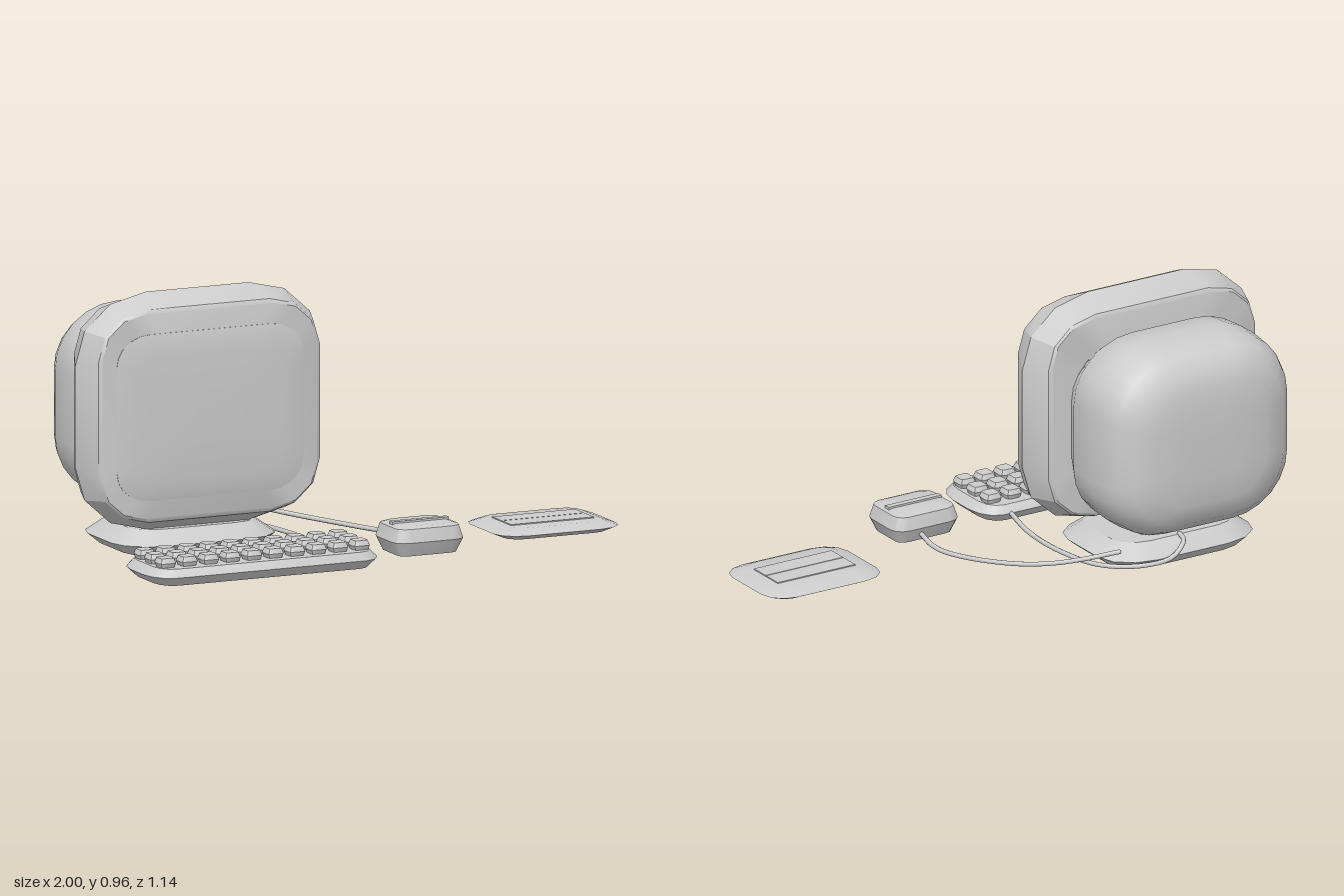
import * as THREE from 'three';
import { toCreasedNormals } from 'three/addons/utils/BufferGeometryUtils.js';

const grey = new THREE.MeshStandardMaterial({ color: 0xcccccc });
grey.name = 'plain grey';

// Rounded rectangle outline: half sizes w, d and corner sizes cx, cz
function outline(w, d, cx, cz, seg) {
  const pts = [];
  for (let q = 0; q < 4; q++) {
    const sx = q === 0 || q === 3 ? 1 : -1;
    const sz = q < 2 ? 1 : -1;
    for (let i = 0; i <= seg; i++) {
      const a = (q + i / seg) * Math.PI / 2;
      pts.push([sx * (w - cx) + cx * Math.cos(a), sz * (d - cz) + cz * Math.sin(a)]);
    }
  }
  return pts;
}

// Closed body from stacked rounded rectangles, rings = [height, w, d, cx, cz]
function loft(rings, crease = 0.5, seg = 3) {
  const pos = [], idx = [], n = 4 * (seg + 1);
  for (const [y, w, d, cx, cz] of rings)
    for (const [x, z] of outline(w, d, cx, cz, seg)) pos.push(x, y, z);
  const last = rings.length - 1;
  const bottom = pos.length / 3, top = bottom + 1;
  pos.push(0, rings[0][0], 0, 0, rings[last][0], 0);
  for (let j = 0; j < n; j++) {
    const k = (j + 1) % n;
    for (let r = 0; r < last; r++) {
      const a = r * n + j, b = r * n + k;
      idx.push(a, a + n, b, b, a + n, b + n);
    }
    idx.push(bottom, j, k, top, last * n + k, last * n + j);
  }
  const g = new THREE.BufferGeometry();
  g.setAttribute('position', new THREE.Float32BufferAttribute(pos, 3));
  g.setIndex(idx);
  return toCreasedNormals(g, crease);
}

export function createModel() {
  const model = new THREE.Group();
  model.name = 'desktopComputer';

  const add = (name, geometry, x = 0, y = 0, z = 0, parent = model) => {
    const m = new THREE.Mesh(geometry, grey);
    m.name = name;
    m.position.set(x, y, z);
    parent.add(m);
    return m;
  };
  // Lofts whose rings run along z
  const upright = (rings, crease, seg) => loft(rings, crease, seg).rotateX(Math.PI / 2);

  // Monitor
  add('screenFrame', upright([
    [-0.167, 0.425, 0.375, 0.17, 0.15],
    [-0.16, 0.44, 0.39, 0.2, 0.18],
    [-0.055, 0.485, 0.435, 0.28, 0.25],
    [0.045, 0.44, 0.39, 0.2, 0.18],
    [0.053, 0.425, 0.375, 0.17, 0.15],
  ]), -0.515, 0.525, 0);
  add('screen', upright([
    [0.03, 0.37, 0.305, 0.13, 0.11],
    [0.055, 0.37, 0.305, 0.13, 0.11],
    [0.061, 0.345, 0.28, 0.13, 0.11],
    [0.066, 0.29, 0.225, 0.12, 0.1],
  ], 0.9, 5), -0.515, 0.52, 0);
  const caseSteps = [
    [-0.575, 0.13, 0.13], [-0.568, 0.23, 0.22], [-0.545, 0.315, 0.295],
    [-0.5, 0.36, 0.332], [-0.45, 0.378, 0.355], [-0.35, 0.385, 0.365],
    [-0.24, 0.383, 0.355], [-0.165, 0.345, 0.305],
  ];
  add('tubeHousing', upright(
    caseSteps.map(([z, w, h]) => [z, w, h, w * 0.65, h * 0.65]), 1.0, 6), -0.515, 0.495, 0);

  // Stand
  add('standNeck', loft([
    [0.08, 0.14, 0.1, 0.06, 0.05], [0.11, 0.15, 0.113, 0.08, 0.06], [0.2, 0.13, 0.09, 0.06, 0.05],
  ]), -0.515, 0, -0.233);
  add('standBase', loft([
    [0, 0.27, 0.2, 0.12, 0.1], [0.04, 0.32, 0.24, 0.17, 0.14], [0.09, 0.25, 0.175, 0.11, 0.09],
  ]), -0.515, 0, -0.2);

  // Keyboard with three rows of ten keys
  const keyboard = new THREE.Group();
  keyboard.name = 'keyboard';
  keyboard.position.set(-0.513, 0, 0.4);
  model.add(keyboard);
  add('keyboardBody', loft([
    [0.004, 0.42, 0.145, 0.06, 0.08], [0.037, 0.458, 0.17, 0.08, 0.12], [0.066, 0.425, 0.15, 0.06, 0.08],
  ]), 0, 0, 0, keyboard);
  const key = loft([
    [0.06, 0.026, 0.026, 0.01, 0.01], [0.082, 0.034, 0.034, 0.016, 0.016], [0.1, 0.026, 0.026, 0.01, 0.01],
  ], 0.5, 2);
  for (let row = 0; row < 3; row++)
    for (let col = 0; col < 10; col++)
      add('key', key, (col - 4.5) * 0.0855, 0, (row - 1) * 0.0875, keyboard);

  // Mouse
  add('mouseBody', loft([
    [0.008, 0.115, 0.09, 0.035, 0.03], [0.06, 0.14, 0.113, 0.055, 0.05],
    [0.108, 0.125, 0.1, 0.045, 0.04], [0.116, 0.1, 0.08, 0.04, 0.035],
  ]), 0.18, 0, 0.343);
  add('mouseRidge', new THREE.BoxGeometry(0.225, 0.02, 0.024), 0.18, 0.113, 0.343);

  // Flat pad with a two-part raised panel
  add('padBody', loft([
    [0.005, 0.2, 0.145, 0.06, 0.06], [0.025, 0.245, 0.187, 0.1, 0.09], [0.045, 0.19, 0.14, 0.06, 0.06],
  ]), 0.755, 0, 0.167);
  for (const s of [-1, 1])
    add('padPanel', new THREE.BoxGeometry(0.33, 0.008, 0.078), 0.755, 0.045, 0.167 + s * 0.041);

  // Cables
  const cable = (name, points) => {
    const curve = new THREE.CatmullRomCurve3(points.map(p => new THREE.Vector3(...p)));
    add(name, new THREE.TubeGeometry(curve, 40, 0.009, 8)).material = grey;
    for (const end of [points[0], points[points.length - 1]])
      add(name + 'End', new THREE.SphereGeometry(0.009, 8, 6), ...end);
  };
  cable('mouseCable', [
    [-0.22, 0.09, -0.405], [-0.12, 0.065, -0.345], [-0.03, 0.045, -0.28], [0.06, 0.03, -0.19],
    [0.16, 0.02, -0.04], [0.215, 0.02, 0.08], [0.225, 0.025, 0.15], [0.21, 0.035, 0.25],
  ]);
  cable('keyboardCable', [
    [-0.17, 0.035, 0.25], [-0.135, 0.025, 0.06], [-0.14, 0.02, -0.15], [-0.19, 0.02, -0.33],
    [-0.3, 0.025, -0.425], [-0.42, 0.04, -0.447], [-0.48, 0.085, -0.43], [-0.5, 0.09, -0.37],
  ]);

  return model;
}
